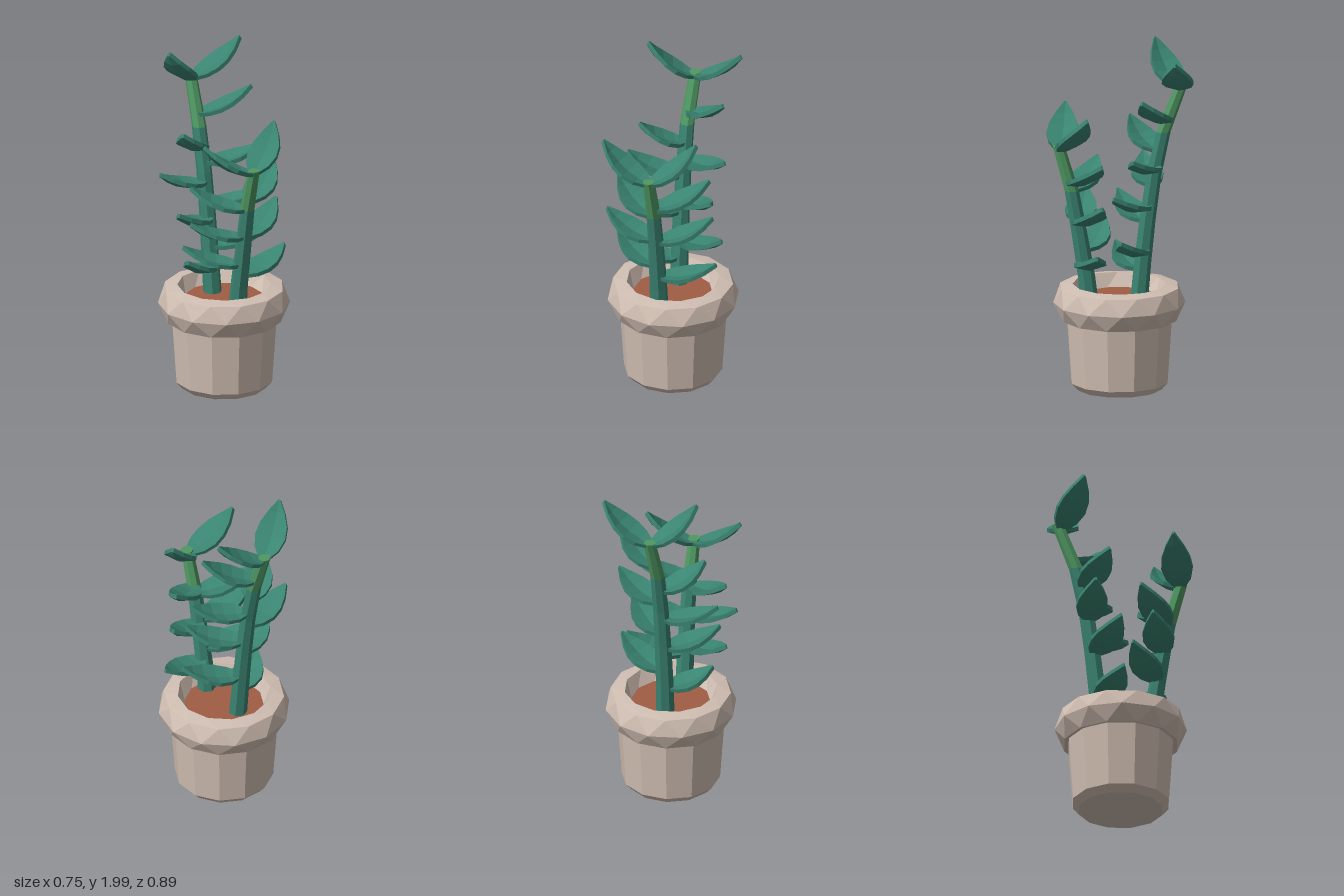
import * as THREE from 'three';

const flat = (name, color) => new THREE.MeshStandardMaterial({ name, color, flatShading: true });

export function createModel() {
  const clay = flat('clay', 0xd0beb2);
  const soilBrown = flat('soilBrown', 0xa05d43);
  const leafGreen = flat('leafGreen', 0x3a8472);
  const shootGreen = flat('shootGreen', 0x4f9862);
  const model = new THREE.Group();
  model.name = 'pottedPlant';

  const add = (parent, name, geometry, material) => {
    const mesh = new THREE.Mesh(geometry, material);
    mesh.name = name;
    parent.add(mesh);
    return mesh;
  };

  // Pot body: twelve-sided tapering lathe with a bevelled foot
  const profile = [[0, 0], [0.245, 0], [0.28, 0.04], [0.308, 0.45]].map(p => new THREE.Vector2(...p));
  add(model, 'potBody', new THREE.LatheGeometry(profile, 12, Math.PI / 12), clay);

  // Pot rim: ring with alternate loops turned half a step for triangular facets
  add(model, 'potRim', rimGeometry(), clay);

  const soil = add(model, 'soil', new THREE.CylinderGeometry(0.25, 0.25, 0.06, 12), soilBrown);
  soil.position.y = 0.5;

  // Each stem: points it passes through, where the young shoot starts, leaves as [base height, tip]
  const plants = [
    {
      name: 'backPlant', shootY: 1.49,
      path: [[-0.06, 0.48, -0.09], [-0.07, 0.65, -0.1], [-0.1, 1.17, -0.15], [-0.135, 1.49, -0.21], [-0.18, 1.77, -0.305]],
      leaves: [
        [1.74, [0.105, 1.95, -0.41]], [1.55, [0.165, 1.72, -0.23]], [1.28, [0.22, 1.38, -0.2]],
        [1.05, [0.235, 1.16, -0.085]], [0.79, [0.262, 0.91, -0.145]],
        [1.74, [-0.31, 1.98, -0.063]], [1.37, [-0.235, 1.53, 0.06]], [1.17, [-0.365, 1.29, 0.042]],
        [0.96, [-0.26, 1.08, 0.15]], [0.68, [-0.21, 0.79, 0.14]],
      ],
    },
    {
      name: 'frontPlant', shootY: 1.15,
      path: [[0.07, 0.48, 0.155], [0.08, 0.65, 0.17], [0.105, 0.92, 0.205], [0.125, 1.15, 0.24], [0.16, 1.41, 0.305]],
      leaves: [
        [1.38, [0.285, 1.61, 0.055]], [1.19, [0.285, 1.35, -0.04]], [0.96, [0.3, 1.11, -0.05]],
        [0.72, [0.345, 0.83, -0.04]],
        [1.38, [-0.125, 1.59, 0.41]], [1.14, [-0.2, 1.28, 0.24]], [0.97, [-0.2, 1.09, 0.32]],
        [0.79, [-0.24, 0.91, 0.21]],
      ],
    },
  ];

  for (const { name, path, shootY, leaves } of plants) {
    const plant = new THREE.Group();
    plant.name = name;
    model.add(plant);
    const y0 = path[0][1], y1 = path[path.length - 1][1];
    add(plant, 'stem', stemGeometry(path, y0, shootY, 0.054, 0.042), leafGreen);
    add(plant, 'youngShoot', stemGeometry(path, shootY, y1, 0.042, 0.035), shootGreen);
    for (const [y, tip] of leaves) {
      add(plant, 'leaf', leafGeometry(stemPoint(path, y), new THREE.Vector3(...tip)), leafGreen);
    }
  }
  return model;
}

// Point on a stem at a given height
function stemPoint(path, y) {
  let i = 0;
  while (i < path.length - 2 && y > path[i + 1][1]) i++;
  const a = new THREE.Vector3(...path[i]), b = new THREE.Vector3(...path[i + 1]);
  return a.lerp(b, (y - a.y) / (b.y - a.y));
}

// Seven-sided tapering cylinder bent along the stem
function stemGeometry(path, y0, y1, r0, r1) {
  const g = new THREE.CylinderGeometry(r1, r0, y1 - y0, 7, 4);
  g.translate(0, (y0 + y1) / 2, 0);
  const p = g.attributes.position;
  for (let i = 0; i < p.count; i++) {
    const c = stemPoint(path, p.getY(i));
    p.setX(i, p.getX(i) + c.x);
    p.setZ(i, p.getZ(i) + c.z);
  }
  return g;
}

// Thick pointed leaf: a box shaped to an outline, cupped across and sagging along its length
function leafGeometry(base, tip) {
  const outline = [0.25, 0.8, 1, 0.9, 0.56, 0.06];
  const dir = tip.clone().sub(base);
  const length = dir.length();
  dir.normalize();
  const side = new THREE.Vector3(0, 1, 0).cross(dir).normalize();
  const normal = dir.clone().cross(side);
  const g = new THREE.BoxGeometry(2, 1, 1, 2, 1, 5);
  const p = g.attributes.position;
  for (let i = 0; i < p.count; i++) {
    const t = p.getZ(i) + 0.5, u = p.getX(i);
    const w = outline[Math.round(t * 5)];
    const sag = -0.16 * t * (1 - t) + 0.022 * Math.abs(u) * w;
    p.setXYZ(i, u * w * 0.09, p.getY(i) * 0.024 + sag, t * length);
  }
  g.applyMatrix4(new THREE.Matrix4().makeBasis(side, normal, dir).setPosition(base));
  return g;
}

// Faceted rim from six loops of [radius, height]
function rimGeometry() {
  const n = 12;
  const loops = [[0.375, 0.5], [0.342, 0.595], [0.265, 0.608], [0.225, 0.53], [0.26, 0.42], [0.33, 0.405]];
  const pos = [], index = [];
  loops.forEach(([r, y], j) => {
    const next = (j + 1) % loops.length;
    for (let i = 0; i < n; i++) {
      const a = (i + (j % 2) / 2) * Math.PI * 2 / n;
      pos.push(r * Math.cos(a), y, r * Math.sin(a));
      const k = (i + 1) % n;
      const A = j * n + i, A1 = j * n + k, B = next * n + i, B1 = next * n + k;
      if (j % 2 === 0) index.push(A, B, A1, B, B1, A1);
      else index.push(A, B, B1, A, B1, A1);
    }
  });
  const g = new THREE.BufferGeometry();
  g.setAttribute('position', new THREE.Float32BufferAttribute(pos, 3));
  g.setIndex(index);
  g.computeVertexNormals();
  return g;
}
